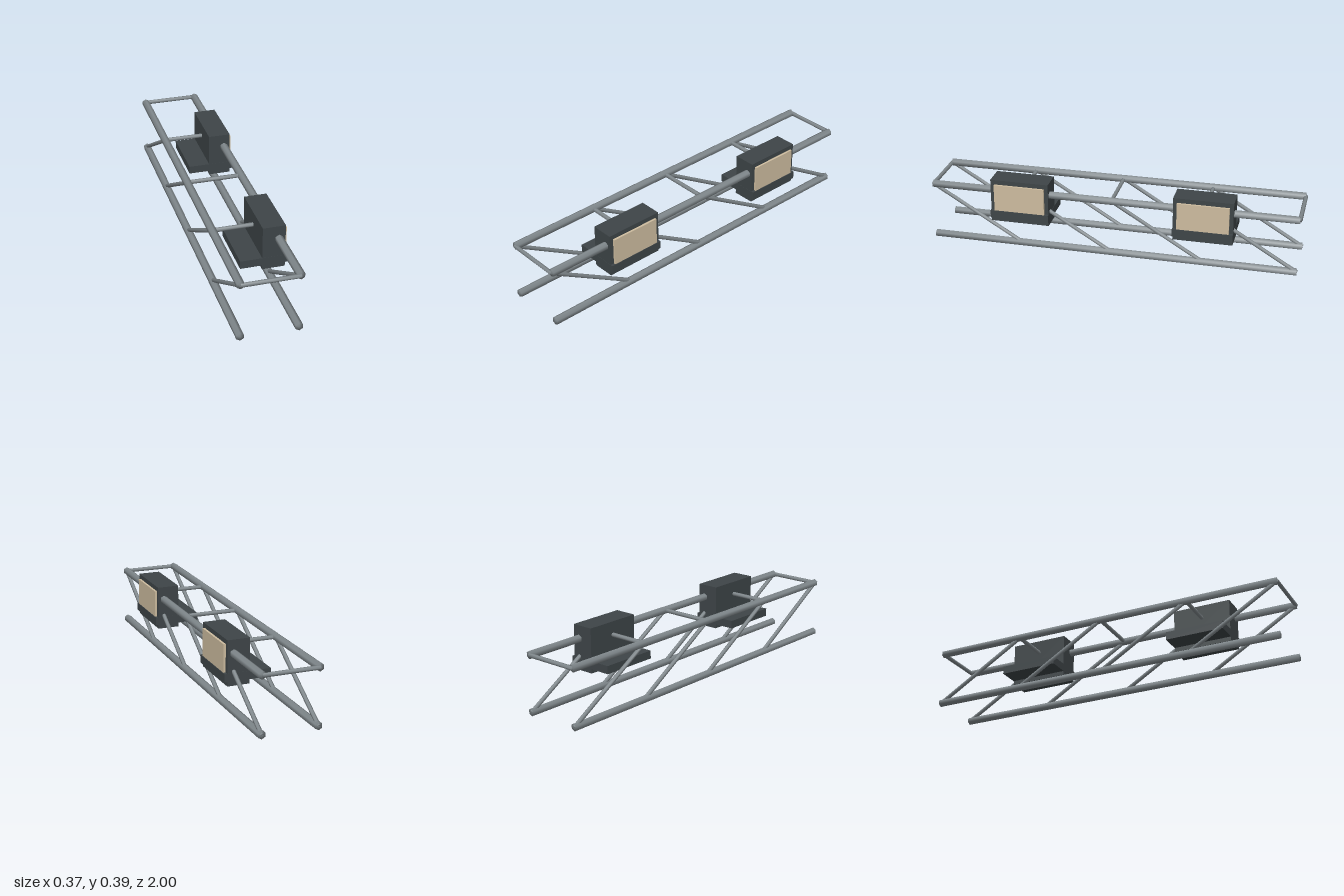
import * as THREE from 'three';
import { mergeVertices } from 'three/addons/utils/BufferGeometryUtils.js';

const steel = new THREE.MeshStandardMaterial({ color: 0x80888c });
steel.name = 'steel grey';
const housing = new THREE.MeshStandardMaterial({ color: 0x3e4548 });
housing.name = 'dark housing';
const lens = new THREE.MeshStandardMaterial({ color: 0xcdbc9f });
lens.name = 'warm cream';

const LEFT = 0.133, RIGHT = -0.165, LOW = 0.0215, HIGH = 0.3195, END = 0.989;
const BAY = END / 2, THIN = 0.0113, THICK = 0.0215;

// Six-sided tube between two points, with normals shared across its edges
function tube(name, from, to, radius) {
  const a = new THREE.Vector3(...from), b = new THREE.Vector3(...to);
  const dir = b.clone().sub(a);
  let geometry = new THREE.CylinderGeometry(radius, radius, dir.length(), 6);
  geometry.deleteAttribute('normal');
  geometry.deleteAttribute('uv');
  geometry = mergeVertices(geometry);
  geometry.computeVertexNormals();
  const mesh = new THREE.Mesh(geometry, steel);
  mesh.name = name;
  mesh.position.copy(a).add(b).multiplyScalar(0.5);
  mesh.quaternion.setFromUnitVectors(new THREE.Vector3(0, 1, 0), dir.normalize());
  return mesh;
}

// Box given by its x and y limits and its depth along z
function block(name, x0, x1, y0, y1, depth, material) {
  const mesh = new THREE.Mesh(new THREE.BoxGeometry(x1 - x0, y1 - y0, depth), material);
  mesh.name = name;
  mesh.position.set((x0 + x1) / 2, (y0 + y1) / 2, 0);
  return mesh;
}

function lamp(name, z) {
  const group = new THREE.Group();
  group.name = name;
  group.add(
    block('lampHousing', 0.048, 0.167, 0.152, 0.39, 0.317, housing),
    block('lampBase', -0.066, 0.182, 0.175, 0.218, 0.319, housing),
    block('lampPanel', 0.165, 0.179, 0.2, 0.365, 0.275, lens)
  );
  group.position.z = z;
  return group;
}

export function createModel() {
  const model = new THREE.Group();
  model.name = 'trussWithLamps';

  // Long chords and the slanted braces on each side
  for (const x of [LEFT, RIGHT]) {
    for (const y of [LOW, HIGH]) model.add(tube('chord', [x, y, -END], [x, y, END], THICK));
    for (let i = 0; i < 4; i++) {
      const z = END - i * BAY;
      model.add(tube('diagonalBrace', [x, LOW, z - BAY], [x, HIGH, z], THIN));
    }
  }

  // Rungs joining the two upper chords
  for (let i = -2; i <= 2; i++) {
    model.add(tube('crossBar', [RIGHT, HIGH, i * BAY], [LEFT, HIGH, i * BAY], THIN));
  }

  model.add(lamp('frontLamp', BAY), lamp('backLamp', -BAY));
  return model;
}
